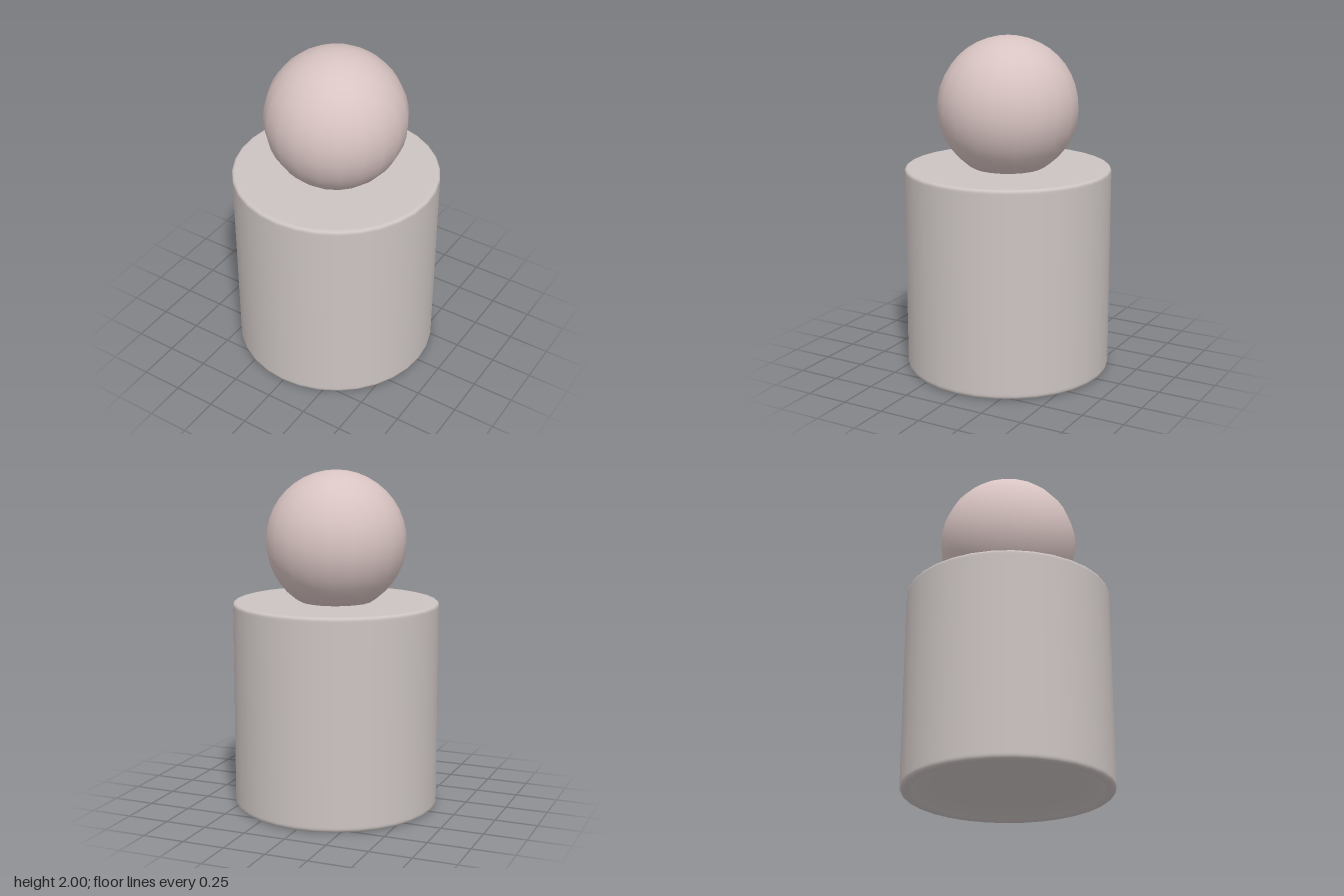
import * as THREE from 'three';

const RADIUS = 0.61, TOP = 1.23, BALL = 0.415;

// Quarter-round edge: points from angle a0 to a1 about (x, y)
function roundEdge(x, y, r, a0, a1, steps = 4) {
  const points = [];
  for (let i = 0; i <= steps; i++) {
    const a = a0 + (a1 - a0) * i / steps;
    points.push(new THREE.Vector2(x + r * Math.cos(a), y + r * Math.sin(a)));
  }
  return points;
}

export function createModel() {
  const model = new THREE.Group();
  const v = (x, y) => new THREE.Vector2(x, y);
  const b = 0.018;

  // Pedestal: turned drum with rounded rims and a dished underside
  const profile = [
    v(0, 0.075), v(0.2, 0.07), v(0.38, 0.055), v(0.49, 0.035), v(0.54, 0.008), v(0.56, 0),
    ...roundEdge(RADIUS - 0.025, 0.025, 0.025, -Math.PI / 2, 0),
    v(RADIUS, 0.035), v(RADIUS, TOP - b - 0.01),
    ...roundEdge(RADIUS - b, TOP - b, b, 0, Math.PI / 2),
    v(RADIUS - b - 0.01, TOP), v(0, TOP),
  ];
  const pedestal = new THREE.Mesh(
    new THREE.LatheGeometry(profile, 32),
    new THREE.MeshStandardMaterial({ color: 0xccc4c2 }),
  );
  pedestal.name = 'pedestal';

  // Ball: sits slightly sunk into the top of the pedestal
  const ball = new THREE.Mesh(
    new THREE.SphereGeometry(BALL, 20, 20),
    new THREE.MeshStandardMaterial({ color: 0xd8c4c2 }),
  );
  ball.position.y = 2 - BALL;
  ball.name = 'ball';

  model.add(pedestal, ball);
  return model;
}
